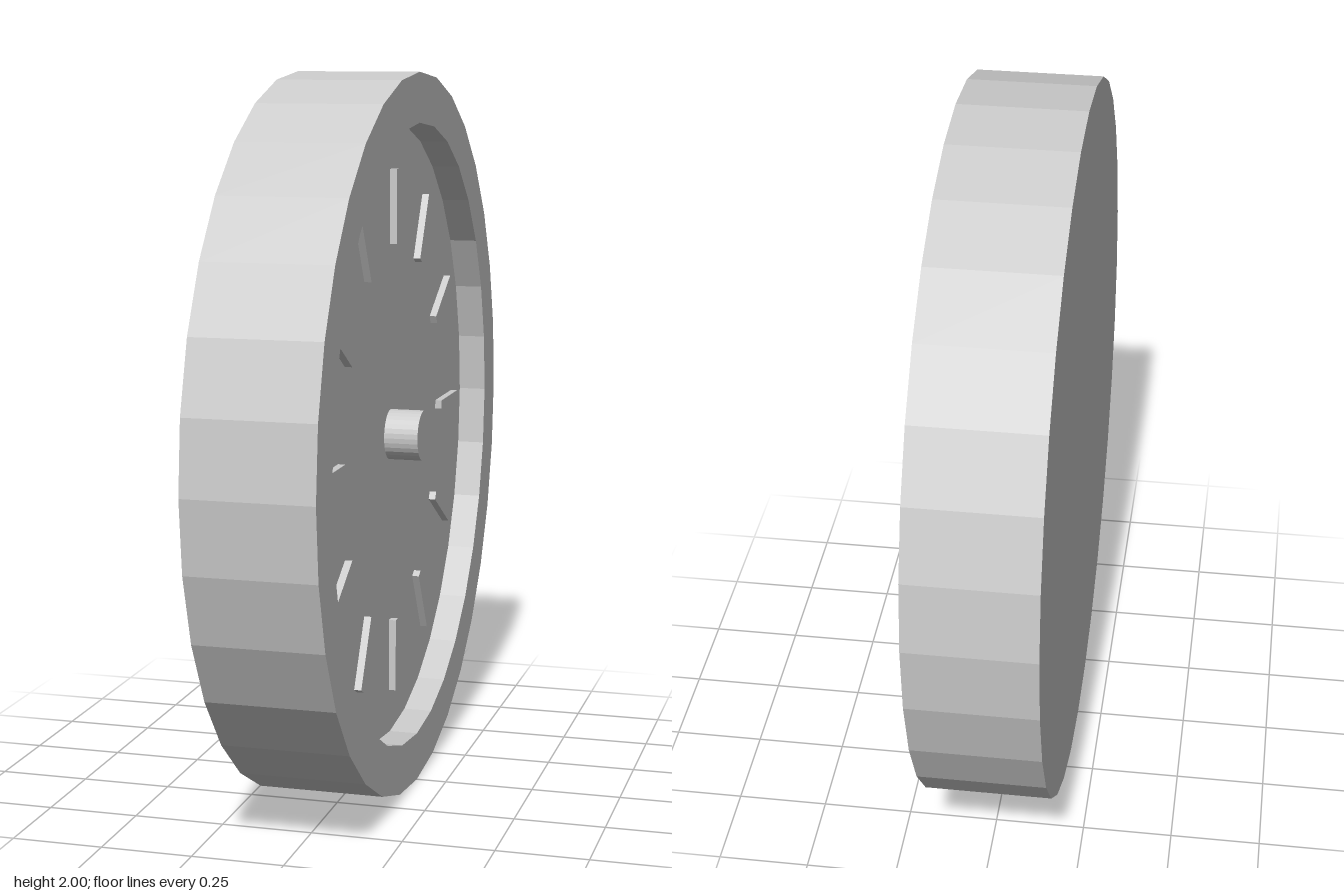
import * as THREE from 'three';

export function createModel() {
  const group = new THREE.Group();
  const material = new THREE.MeshStandardMaterial({ color: 0xcccccc, flatShading: true });
  const sides = 32;
  const dialX = 0.085; // recessed dial surface
  const frontX = 0.18; // tip of the hub

  const add = (name, geometry, parent = group) => {
    const mesh = new THREE.Mesh(geometry, material);
    mesh.name = name;
    parent.add(mesh);
    return mesh;
  };

  // Clock built around its own centre, facing +x
  const clock = new THREE.Group();
  clock.name = 'clock';
  clock.position.y = 1;
  group.add(clock);

  // Case: flat back, outer wall, raised rim and recessed dial
  const profile = [[0, -0.18], [1, -0.18], [1, 0.165], [0.863, 0.165], [0.863, dialX], [0, dialX]]
    .map(([r, h]) => new THREE.Vector2(r, h));
  add('case', new THREE.LatheGeometry(profile, sides).rotateZ(-Math.PI / 2), clock);

  // Central hub
  const hubLength = frontX - dialX;
  const hub = add('hub', new THREE.CylinderGeometry(0.07, 0.07, hubLength, sides).rotateZ(-Math.PI / 2), clock);
  hub.position.x = dialX + hubLength / 2;

  // Twelve hour markers
  const marker = new THREE.BoxGeometry(0.04, 0.205, 0.025).translate(dialX, 0.635, 0);
  for (let i = 0; i < 12; i++) {
    add('hourMarker' + (i + 1), marker, clock).rotation.x = (i + 1) * Math.PI / 6;
  }

  return group;
}
